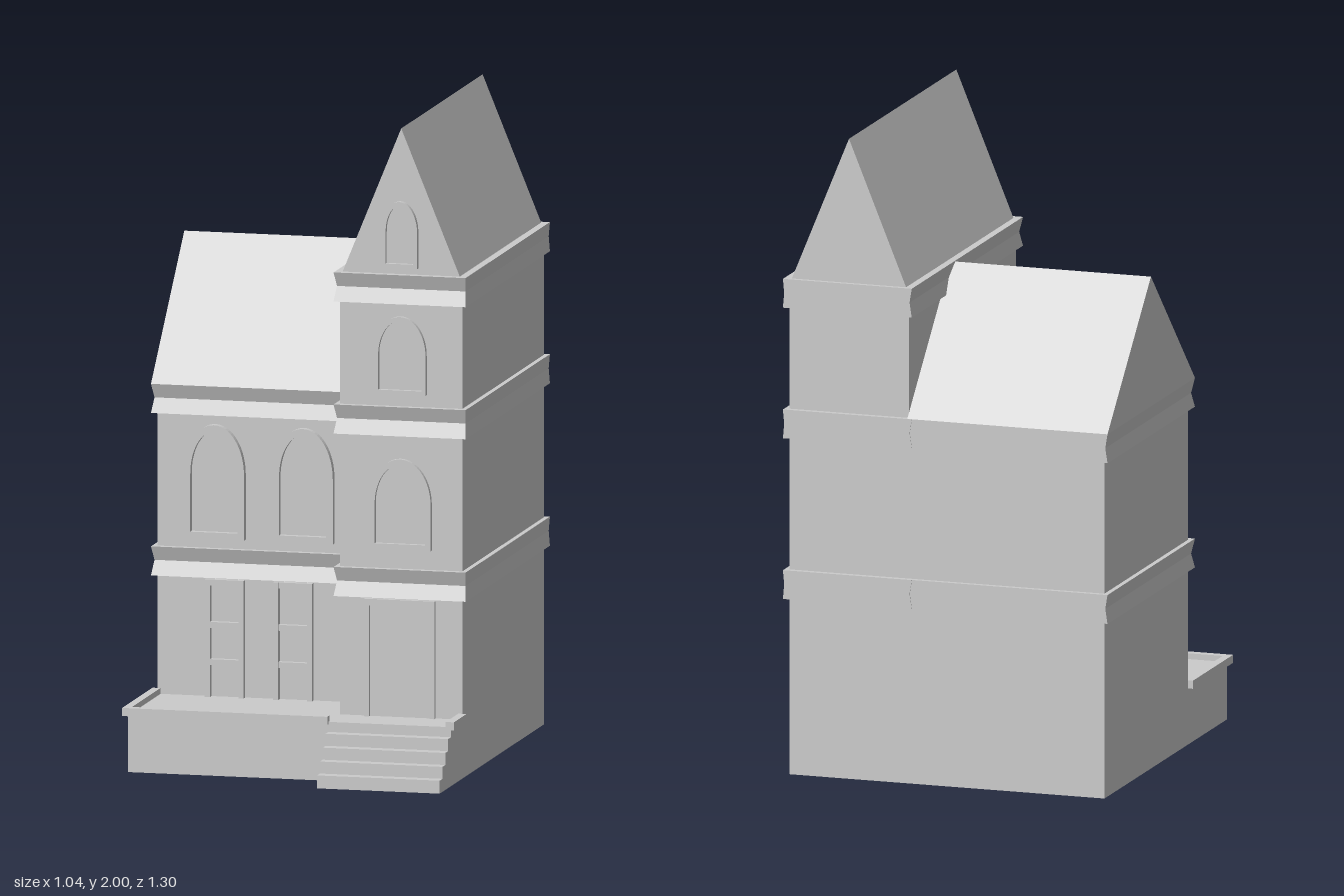
import * as THREE from 'three';

const mat = new THREE.MeshStandardMaterial({ color: 0xcccccc, side: THREE.DoubleSide });

export function createModel() {
  const model = new THREE.Group();
  model.name = 'townhouse';

  const add = (name, geometry) => {
    const mesh = new THREE.Mesh(geometry, mat);
    mesh.name = name;
    model.add(mesh);
    return mesh;
  };

  // Box given by its limits
  const box = (name, x0, x1, y0, y1, z0, z1) => {
    const g = new THREE.BoxGeometry(x1 - x0, y1 - y0, z1 - z0);
    g.translate((x0 + x1) / 2, (y0 + y1) / 2, (z0 + z1) / 2);
    return add(name, g);
  };

  // Rectangular cross-sections [x0, x1, z0, z1, y] joined from bottom to top
  const loft = (name, sections) => {
    const pos = [], idx = [];
    for (const [x0, x1, z0, z1, y] of sections) {
      pos.push(x0, y, z1, x1, y, z1, x1, y, z0, x0, y, z0);
    }
    for (let s = 0; s < sections.length - 1; s++) {
      for (let i = 0; i < 4; i++) {
        const a = s * 4 + i, b = s * 4 + (i + 1) % 4;
        idx.push(a, b, b + 4, a, b + 4, a + 4);
      }
    }
    const t = (sections.length - 1) * 4;
    idx.push(0, 2, 1, 0, 3, 2, t, t + 1, t + 2, t, t + 2, t + 3);
    const g = new THREE.BufferGeometry();
    g.setAttribute('position', new THREE.Float32BufferAttribute(pos, 3));
    g.setIndex(idx);
    const flat = g.toNonIndexed();
    flat.computeVertexNormals();
    return add(name, flat);
  };

  // Cornice pinched at a waist on the front and sides
  const cornice = (name, x0, x1, z0, z1, y) => loft(name, [
    [x0, x1, z0, z1, y],
    [x0 + 0.007, x1 - 0.004, z0, z1 - 0.016, y + 0.046],
    [x0, x1, z0, z1, y + 0.09],
  ]);

  const triangle = (a, b, peak, y0, y1) => new THREE.Shape([
    new THREE.Vector2(a, y0), new THREE.Vector2(b, y0), new THREE.Vector2(peak, y1),
  ]);
  const extrude = (shape, depth) => new THREE.ExtrudeGeometry(shape, { depth, bevelEnabled: false, curveSegments: 16 });

  // Walls
  box('mainWalls', -0.51, 0.13, 0, 1.1, -0.63, 0.15);
  box('towerWalls', 0.12, 0.505, 0, 1.5, -0.63, 0.37);

  // Cornices
  for (const y of [0.55, 1.052]) cornice('mainCornice', -0.525, 0.125, -0.645, 0.17, y);
  for (const y of [0.55, 1.052, 1.46]) cornice('towerCornice', 0.105, 0.52, -0.647, 0.39, y);

  // Roofs: the main ridge runs across, the tower ridge runs front to back
  const mainRoof = extrude(triangle(-0.17, 0.645, 0.24, 1.142, 1.547), 0.645);
  mainRoof.rotateY(Math.PI / 2);
  mainRoof.translate(-0.525, 0, 0);
  add('mainRoof', mainRoof);
  const towerRoof = extrude(triangle(0.128, 0.496, 0.312, 1.55, 2), 1);
  towerRoof.translate(0, 0, -0.633);
  add('towerRoof', towerRoof);

  // Arched window frames: straight jambs with an elliptical head
  const archPath = (path, x, w, y0, spring, top) => {
    path.moveTo(x - w, y0);
    path.lineTo(x + w, y0);
    path.lineTo(x + w, spring);
    path.absellipse(x, spring, w, top - spring, 0, Math.PI, false);
    path.closePath();
    return path;
  };
  const archWindow = (x, w, y0, spring, top, z, rim, depth) => {
    const shape = archPath(new THREE.Shape(), x, w, y0, spring, top);
    shape.holes.push(archPath(new THREE.Path(), x, w - rim, y0 + rim, spring, top - rim));
    const frame = extrude(shape, depth);
    frame.translate(0, 0, z);
    add('archedWindowFrame', frame);
    const pane = extrude(archPath(new THREE.Shape(), x, w - rim, y0 + rim, spring, top - rim), 0.004);
    pane.translate(0, 0, z);
    add('archedWindowPane', pane);
  };
  for (const x of [-0.327, -0.048]) archWindow(x, 0.095, 0.67, 0.87, 1.023, 0.149, 0.021, 0.023);
  archWindow(0.312, 0.097, 0.7, 0.84, 0.98, 0.367, 0.018, 0.018);
  archWindow(0.312, 0.081, 1.18, 1.3, 1.42, 0.367, 0.013, 0.018);
  archWindow(0.31, 0.056, 1.57, 1.68, 1.775, 0.365, 0.013, 0.018);

  // Ground-floor windows with three panes each
  for (const x of [-0.295, -0.08]) {
    for (const s of [-1, 1]) box('windowJamb', x + s * 0.053 - 0.008, x + s * 0.053 + 0.008, 0.18, 0.545, 0.145, 0.17);
    for (const y of [0.29, 0.405, 0.536]) box('windowBar', x - 0.06, x + 0.06, y - 0.009, y + 0.009, 0.145, 0.168);
  }

  // Door
  for (const s of [-1, 1]) box('doorJamb', 0.31 + s * 0.103 - 0.008, 0.31 + s * 0.103 + 0.008, 0.18, 0.545, 0.36, 0.385);
  box('doorLintel', 0.2, 0.42, 0.525, 0.545, 0.36, 0.384);
  box('door', 0.215, 0.405, 0.18, 0.53, 0.36, 0.373);

  // Terrace with a raised rim
  box('terrace', -0.51, 0.505, 0, 0.182, 0.1, 0.51);
  box('leftRim', -0.525, -0.5, 0.175, 0.2, 0.15, 0.525);
  box('frontRim', -0.525, 0.12, 0.175, 0.2, 0.5, 0.525);
  box('rightRim', 0.492, 0.518, 0.175, 0.2, 0.37, 0.525);

  // Front steps
  for (let i = 0; i < 4; i++) box('step', 0.12, 0.505, 0, 0.04 + i * 0.037, 0.45, 0.65 - i * 0.035);

  return model;
}
